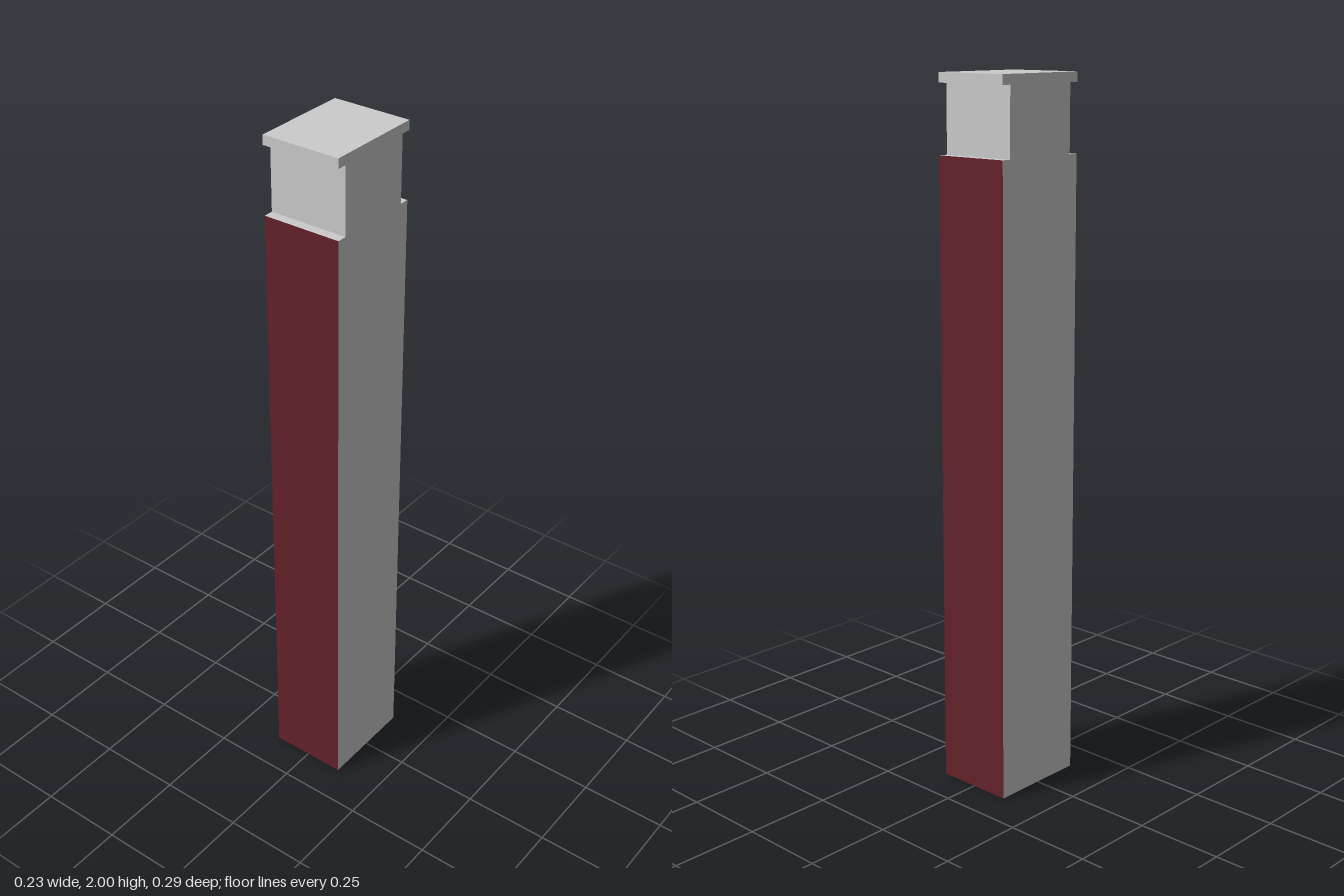
import * as THREE from 'three';

const HALF_W = 0.115;    // half width in x
const HALF_D = 0.144;    // half depth of shaft and cap in z
const NECK_D = 0.116;    // half depth of the neck in z
const SHAFT_TOP = 1.785;
const CAP_BOTTOM = 1.973;
const TOP = 2;

export function createModel() {
  const group = new THREE.Group();
  const grey = new THREE.MeshStandardMaterial({ color: 0xcccccc, side: THREE.DoubleSide });
  const red = new THREE.MeshStandardMaterial({ color: 0x65222a, side: THREE.DoubleSide });

  const add = (name, geometry, material) => {
    const mesh = new THREE.Mesh(geometry, material);
    mesh.name = name;
    group.add(mesh);
    return mesh;
  };

  // Upright panel facing +z or -z
  const upright = (name, y0, y1, z, material) => {
    const geometry = new THREE.PlaneGeometry(2 * HALF_W, y1 - y0);
    if (z < 0) geometry.rotateY(Math.PI);
    add(name, geometry.translate(0, (y0 + y1) / 2, z), material);
  };

  // Level panel facing up (1) or down (-1)
  const level = (name, y, z, depth, facing) => {
    const geometry = new THREE.PlaneGeometry(2 * HALF_W, depth).rotateX(-facing * Math.PI / 2);
    add(name, geometry.translate(0, y, z), grey);
  };

  // Side walls share one stepped outline: shaft, recessed neck, cap
  const half = [
    [HALF_D, 0], [HALF_D, SHAFT_TOP], [NECK_D, SHAFT_TOP],
    [NECK_D, CAP_BOTTOM], [HALF_D, CAP_BOTTOM], [HALF_D, TOP],
  ];
  const outline = [...half, ...half.map(([z, y]) => [-z, y]).reverse()];
  const shape = new THREE.Shape(outline.map(([z, y]) => new THREE.Vector2(z, y)));
  for (const [name, side] of [['leftWall', 1], ['rightWall', -1]]) {
    const wall = new THREE.ShapeGeometry(shape).rotateY(side * Math.PI / 2);
    add(name, wall.translate(side * HALF_W, 0, 0), grey);
  }

  // Front and back: coloured shaft panel, ledge, neck, cap lip and cap edge
  const step = HALF_D - NECK_D;
  const stepZ = (HALF_D + NECK_D) / 2;
  for (const [name, s] of [['front', 1], ['back', -1]]) {
    upright(name + 'Panel', 0, SHAFT_TOP, s * HALF_D, red);
    level(name + 'Ledge', SHAFT_TOP, s * stepZ, step, 1);
    upright(name + 'Neck', SHAFT_TOP, CAP_BOTTOM, s * NECK_D, grey);
    level(name + 'CapLip', CAP_BOTTOM, s * stepZ, step, -1);
    upright(name + 'CapEdge', CAP_BOTTOM, TOP, s * HALF_D, grey);
  }

  // Cap top; the bottom of the shaft stays open
  level('capTop', TOP, 0, 2 * HALF_D, 1);

  return group;
}
